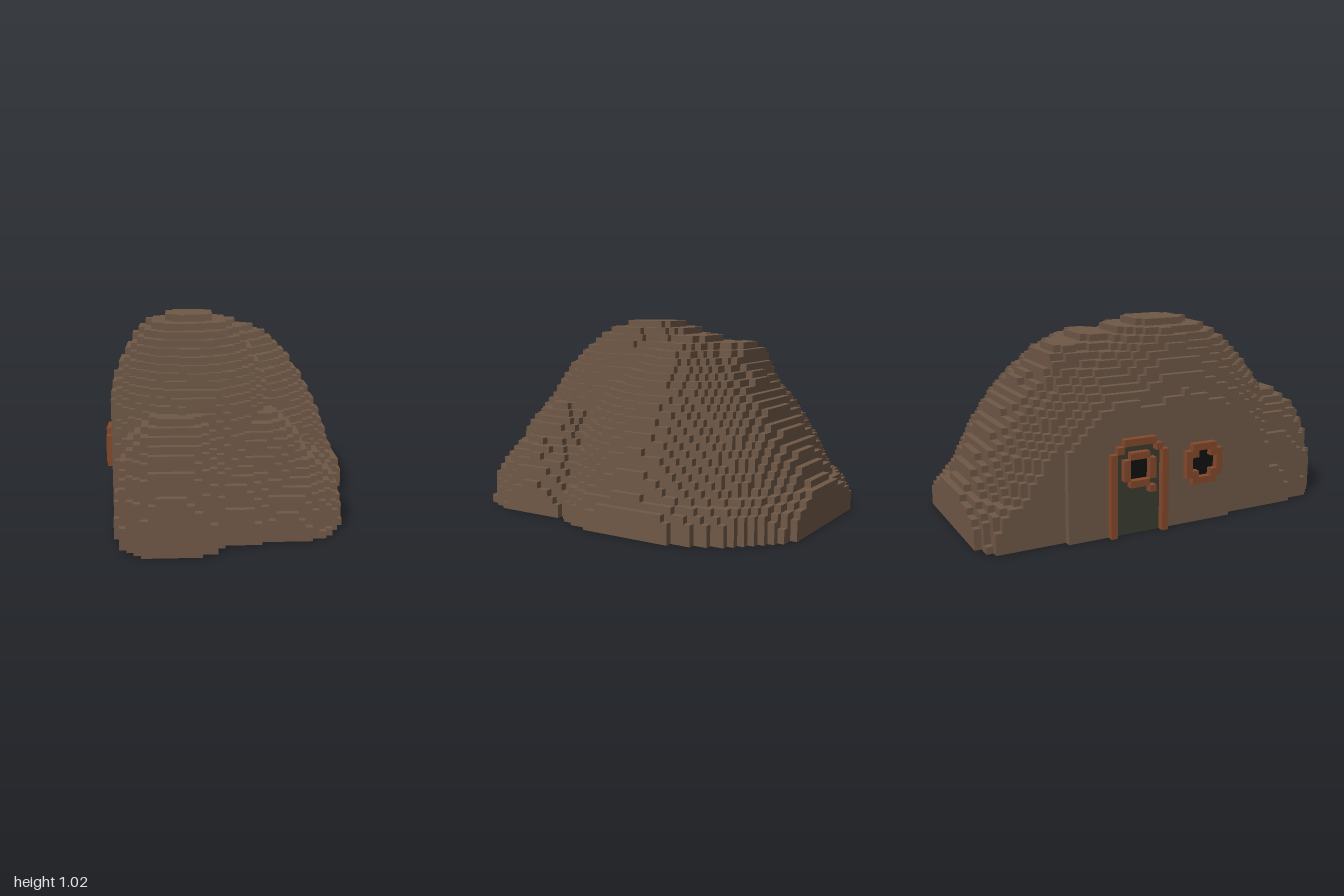
import * as THREE from 'three';

// Voxel grid: i along x, j along y, k along z
const NX = 37, NY = 29, NZ = 57, U = 2 / NZ;

// Domes of the mound:
// [centre x, centre z, radius x, radius z, height, roundness x, roundness z, steepness]
const DOMES = [
  [-0.10, -0.25, 0.75, 0.78, 0.95, 2.4, 1.7, 0.78],  // broad back
  [-0.10, -0.27, 0.765, 0.80, 0.34, 2.1, 2.1, 0.32], // steep foot of the back
  [-0.16, -0.38, 0.31, 0.25, 0.91, 4, 4, 0.35],      // plateau behind the peak
  [-0.21, 0.09, 0.48, 0.75, 1.02, 2.7, 2, 0.5],      // main peak
  [-0.29, 0.57, 0.28, 0.44, 0.62, 2.8, 2.8, 0.42],   // front left lobe
  [0.11, 0.44, 0.31, 0.35, 0.56, 2.4, 2.4, 0.5],     // front right shoulder
  [0.24, 0.42, 0.31, 0.41, 0.40, 2.3, 2.3, 0.5],     // front right foot
  [0.00, 0.58, 0.32, 0.29, 0.44, 2, 2, 0.5],         // saddle between the lobes
];

function moundHeight(x, z) {
  let h = 0;
  for (const [cx, cz, rx, rz, top, px, pz, e] of DOMES) {
    const d = Math.abs((x - cx) / rx) ** px + Math.abs((z - cz) / rz) ** pz;
    if (d < 1) h = Math.max(h, top * (1 - d) ** e);
  }
  // gentle unevenness of the earth
  return h > 0 ? h + 0.012 * Math.sin(9 * x + 4 * z) * Math.sin(11 * z - 3 * x) : 0;
}

// Arched doorway around k = 22, half widths per row
const doorOuter = (j) => (j <= 11 ? 4 : j === 12 ? 3 : j === 13 ? 2 : -1);
const doorInner = (j) => (j <= 11 ? 3 : j === 12 ? 2 : -1);

// Square with cut corners
function inOctagon(dk, dj, r) {
  const a = Math.abs(dk), b = Math.abs(dj);
  return a <= r && b <= r && a + b < 2 * r;
}

// Door and window parts in the two outermost layers of the left wall
function wallPart(i, j, k) {
  const dk = k - 22, dj = j - 9;
  if (Math.abs(dk) <= doorInner(j)) {
    const pane = inOctagon(dk, dj, 1.5);
    if (i === 1) return pane ? 'glass' : 'door';
    if (pane) return null;
    return inOctagon(dk, dj, 2) || (k === 24 && j === 6) ? 'doorTrim' : null;
  }
  if (Math.abs(dk) <= doorOuter(j)) return i === 0 ? 'doorFrame' : 'mound';
  const wk = k - 32.5, wj = j - 8.5;
  if (inOctagon(wk, wj, 1.5)) return i === 0 ? null : 'glass';
  if (inOctagon(wk, wj, 2.5)) return i === 0 ? 'windowFrame' : 'mound';
  return undefined;
}

// Which part fills a cell, or null when it is empty
function cell(i, j, k) {
  if (i < 0 || j < 0 || k < 0 || i >= NX || j >= NY || k >= NZ) return null;
  if (i < 2) {
    const part = wallPart(i, j, k);
    if (part !== undefined) return part;
    // the flat wall only reaches around the door and window
    if (i === 0 || k < 12 || k > 37) return null;
  }
  const x = (i + 0.5 - NX / 2) * U, z = (k + 0.5 - NZ / 2) * U;
  return moundHeight(x, z) > (j + 0.5) * U ? 'mound' : null;
}

// Exposed faces of every cell, gathered per part
function voxelFaces() {
  const faces = {};
  for (let i = 0; i < NX; i++) for (let j = 0; j < NY; j++) for (let k = 0; k < NZ; k++) {
    const part = cell(i, j, k);
    if (!part) continue;
    const out = (faces[part] ??= { pos: [], nor: [] });
    for (let a = 0; a < 3; a++) for (const s of [-1, 1]) {
      const n = [0, 0, 0];
      n[a] = s;
      if (cell(i + n[0], j + n[1], k + n[2])) continue;
      const b = (a + 1) % 3, c = (a + 2) % 3;
      const corners = [[0, 0], [1, 0], [1, 1], [0, 1]].map(([p, q]) => {
        const v = [i, j, k];
        if (s > 0) v[a] += 1;
        v[b] += p;
        v[c] += q;
        return [(v[0] - NX / 2) * U, v[1] * U, (v[2] - NZ / 2) * U];
      });
      const order = s > 0 ? [0, 1, 2, 0, 2, 3] : [0, 2, 1, 0, 3, 2];
      for (const o of order) {
        out.pos.push(...corners[o]);
        out.nor.push(...n);
      }
    }
  }
  return faces;
}

export function createModel() {
  const colors = {
    mound: 0x6f5846, doorFrame: 0x85492b, doorTrim: 0x85492b,
    windowFrame: 0x85492b, door: 0x3a3c30, glass: 0x101010,
  };
  const group = new THREE.Group();
  group.name = 'earthHouse';
  for (const [part, { pos, nor }] of Object.entries(voxelFaces())) {
    const geometry = new THREE.BufferGeometry();
    geometry.setAttribute('position', new THREE.Float32BufferAttribute(pos, 3));
    geometry.setAttribute('normal', new THREE.Float32BufferAttribute(nor, 3));
    const mesh = new THREE.Mesh(geometry, new THREE.MeshStandardMaterial({ color: colors[part] }));
    mesh.name = part;
    group.add(mesh);
  }
  return group;
}
